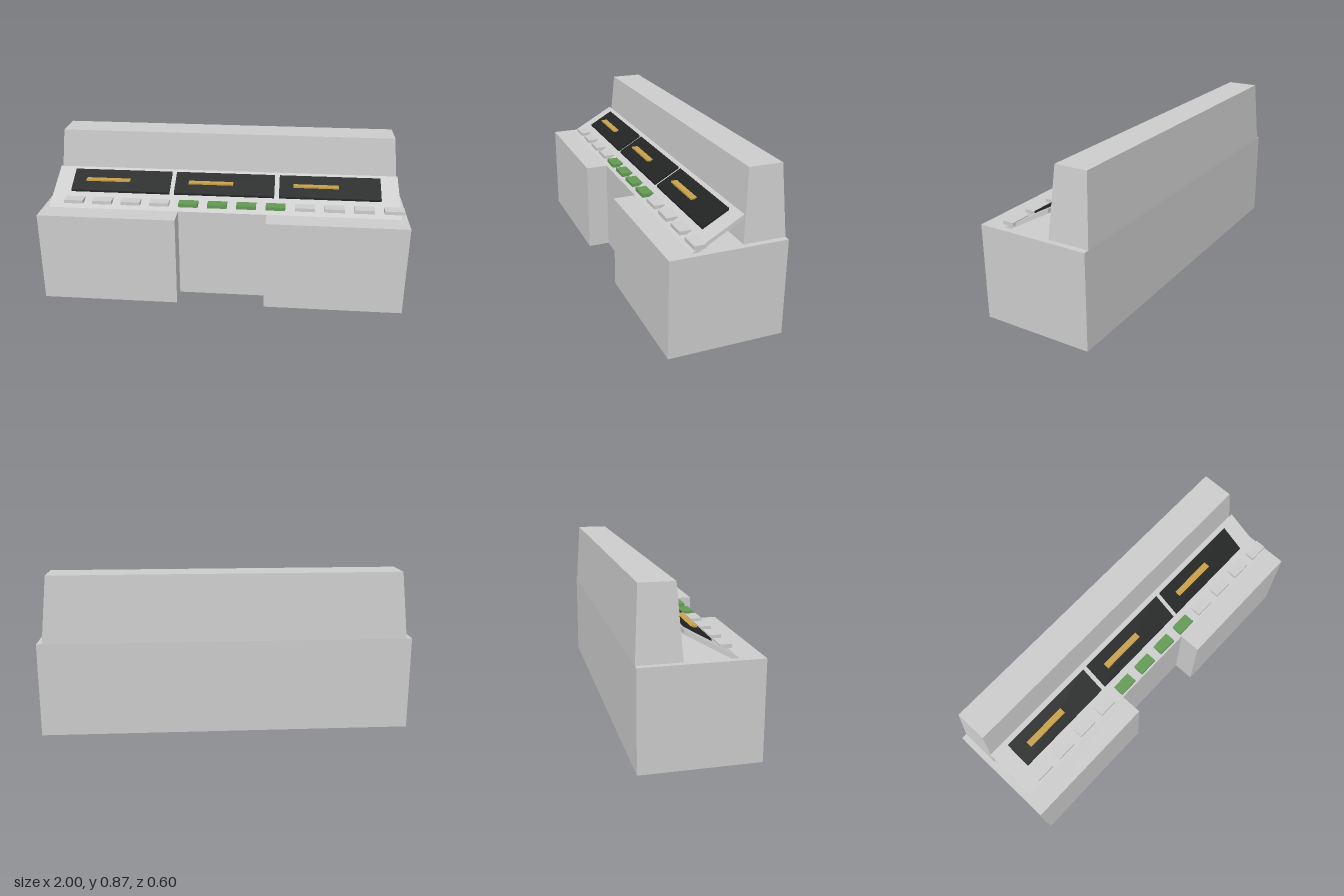
import * as THREE from 'three';

const grey = new THREE.MeshStandardMaterial({ color: 0xcccccc });
const dark = new THREE.MeshStandardMaterial({ color: 0x222424 });
const green = new THREE.MeshStandardMaterial({ color: 0x649a55 });
const gold = new THREE.MeshStandardMaterial({ color: 0xc8a04a });

const BASE_TOP = 0.507;
// height of the sloping desk surface at depth z
const slopeY = z => BASE_TOP + (0.18 - z) * 0.569;

function part(name, geometry, material) {
  const mesh = new THREE.Mesh(geometry, material);
  mesh.name = name;
  return mesh;
}

// side profile of [z, y] points, extruded along x and centred
function prism(profile, width) {
  const shape = new THREE.Shape(profile.map(p => new THREE.Vector2(...p)));
  return new THREE.ExtrudeGeometry(shape, { depth: width, bevelEnabled: false })
    .translate(0, 0, -width / 2)
    .rotateY(-Math.PI / 2);
}

export function createModel() {
  const model = new THREE.Group();

  // cabinet with a shallow knee recess in the front
  const plan = [[-1, -0.3], [-0.243, -0.3], [-0.243, -0.18], [0.243, -0.18],
    [0.243, -0.3], [1, -0.3], [1, 0.3], [-1, 0.3]];
  const base = new THREE.ExtrudeGeometry(
    new THREE.Shape(plan.map(p => new THREE.Vector2(...p))),
    { depth: BASE_TOP, bevelEnabled: false }
  ).rotateX(-Math.PI / 2);
  model.add(part('cabinet', base, grey));

  // upright back housing, tapering towards the top
  const housing = new THREE.BoxGeometry(1.94, 0.36, 0.22).translate(0, BASE_TOP + 0.18, -0.19);
  const hp = housing.attributes.position;
  for (let i = 0; i < hp.count; i++) {
    if (hp.getY(i) < 0.6) continue;
    hp.setX(i, Math.sign(hp.getX(i)) * 0.935);
    hp.setZ(i, hp.getZ(i) > -0.19 ? -0.107 : -0.28);
  }
  housing.computeVertexNormals();
  model.add(part('backHousing', housing, grey));

  // thin sloping control panel, slightly narrower at its upper edge
  const panel = prism([[0.18, BASE_TOP], [-0.08, slopeY(-0.08)], [-0.08, 0.634], [0.143, BASE_TOP]], 1.936);
  const pp = panel.attributes.position;
  for (let i = 0; i < pp.count; i++) {
    if (pp.getY(i) > 0.6) pp.setX(i, Math.sign(pp.getX(i)) * 0.963);
  }
  panel.computeVertexNormals();
  model.add(part('controlPanel', panel, grey));

  // three dark screens, each with a gold bar
  const screenProfile = [[0.08, slopeY(0.08)], [0.08, slopeY(0.08) + 0.011],
    [-0.053, slopeY(-0.053) + 0.011], [-0.053, slopeY(-0.053)]];
  for (let i = 0; i < 3; i++) {
    const x = (i - 1) * 0.586;
    const screen = part('screen', prism(screenProfile, 0.56), dark);
    screen.position.x = x;
    const bar = part('screenBar', new THREE.BoxGeometry(0.25, 0.009, 0.036), gold);
    bar.position.set(x - 0.077, 0.616, 0.016);
    model.add(screen, bar);
  }

  // row of twelve keys, the middle four green
  for (let i = 0; i < 12; i++) {
    const key = part('key', new THREE.BoxGeometry(0.107, 0.019, 0.06), i > 3 && i < 8 ? green : grey);
    key.position.set(-0.83 + i * 0.16, 0.54, 0.144);
    model.add(key);
  }

  return model;
}
